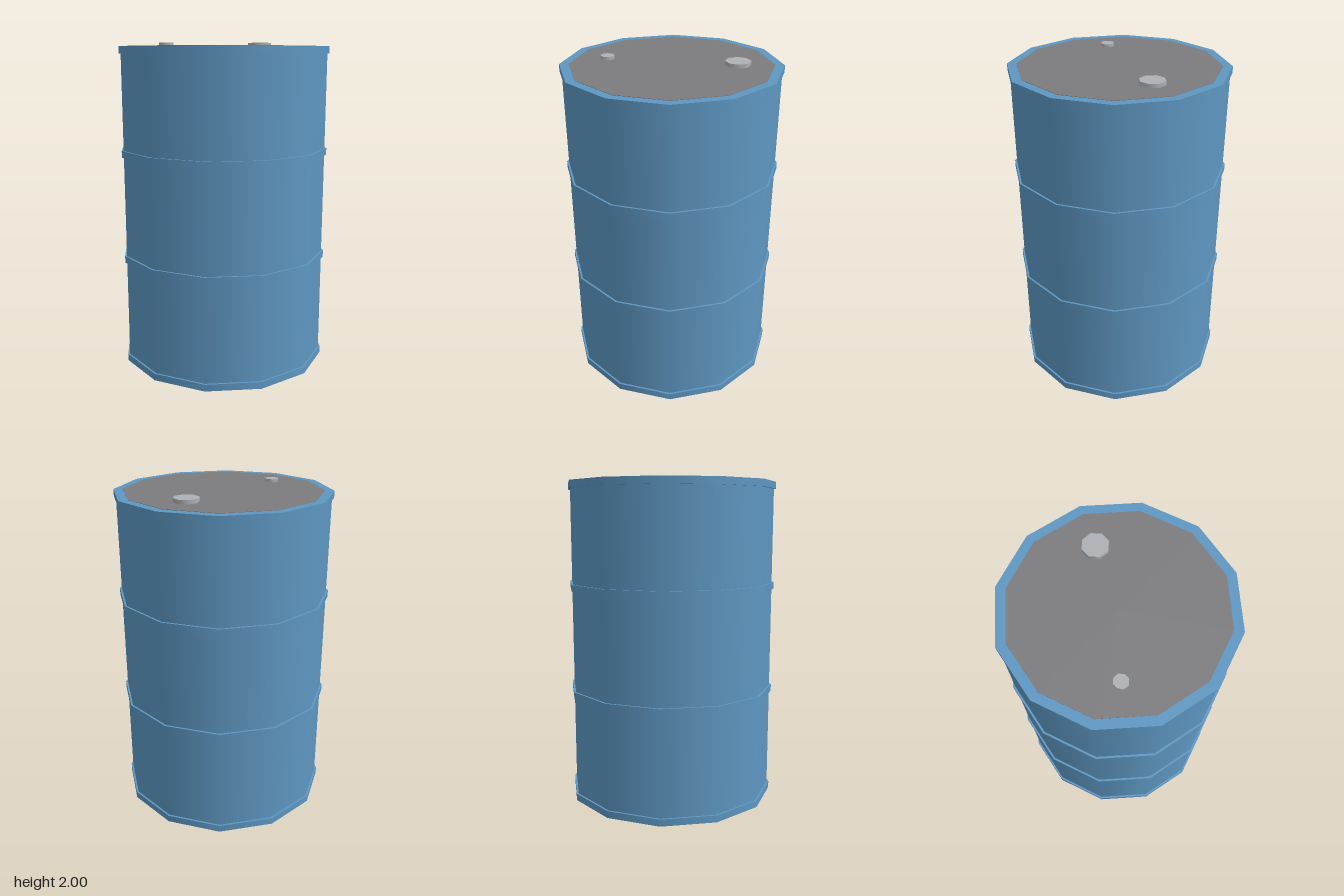
import * as THREE from 'three';

const SIDES = 12;

export function createModel() {
  const drum = new THREE.Group();
  drum.name = 'drum';

  const paint = new THREE.MeshStandardMaterial({ name: 'bluePaint', color: 0x5e97c2 });
  const lidGrey = new THREE.MeshStandardMaterial({ name: 'lidGrey', color: 0x7c7c7f });
  const steel = new THREE.MeshStandardMaterial({ name: 'lightSteel', color: 0xadb0b4 });

  // Upright prism spanning bottom..top, centred on (x, z)
  function disc(name, material, radius, bottom, top, { x = 0, z = 0, sides = SIDES, open = false } = {}) {
    const geometry = new THREE.CylinderGeometry(radius, radius, top - bottom, sides, 1, open);
    const mesh = new THREE.Mesh(geometry, material);
    mesh.name = name;
    mesh.position.set(x, (bottom + top) / 2, z);
    drum.add(mesh);
    return mesh;
  }

  // Shell, closed off by the end rims
  disc('body', paint, 0.638, 0.02, 1.955, { open: true });

  // End rims and the two rolling hoops
  disc('bottomRim', paint, 0.65, 0, 0.043);
  disc('lowerHoop', paint, 0.65, 0.657, 0.7);
  disc('upperHoop', paint, 0.65, 1.318, 1.36);
  disc('topRim', paint, 0.65, 1.933, 1.975);

  // Lid plate and its two bungs
  disc('lid', lidGrey, 0.595, 1.97, 1.977);
  disc('largeBung', steel, 0.076, 1.97, 2, { x: 0.38, sides: 8 });
  disc('smallBung', steel, 0.042, 1.97, 1.995, { x: -0.38, z: -0.115, sides: 8 });

  return drum;
}
